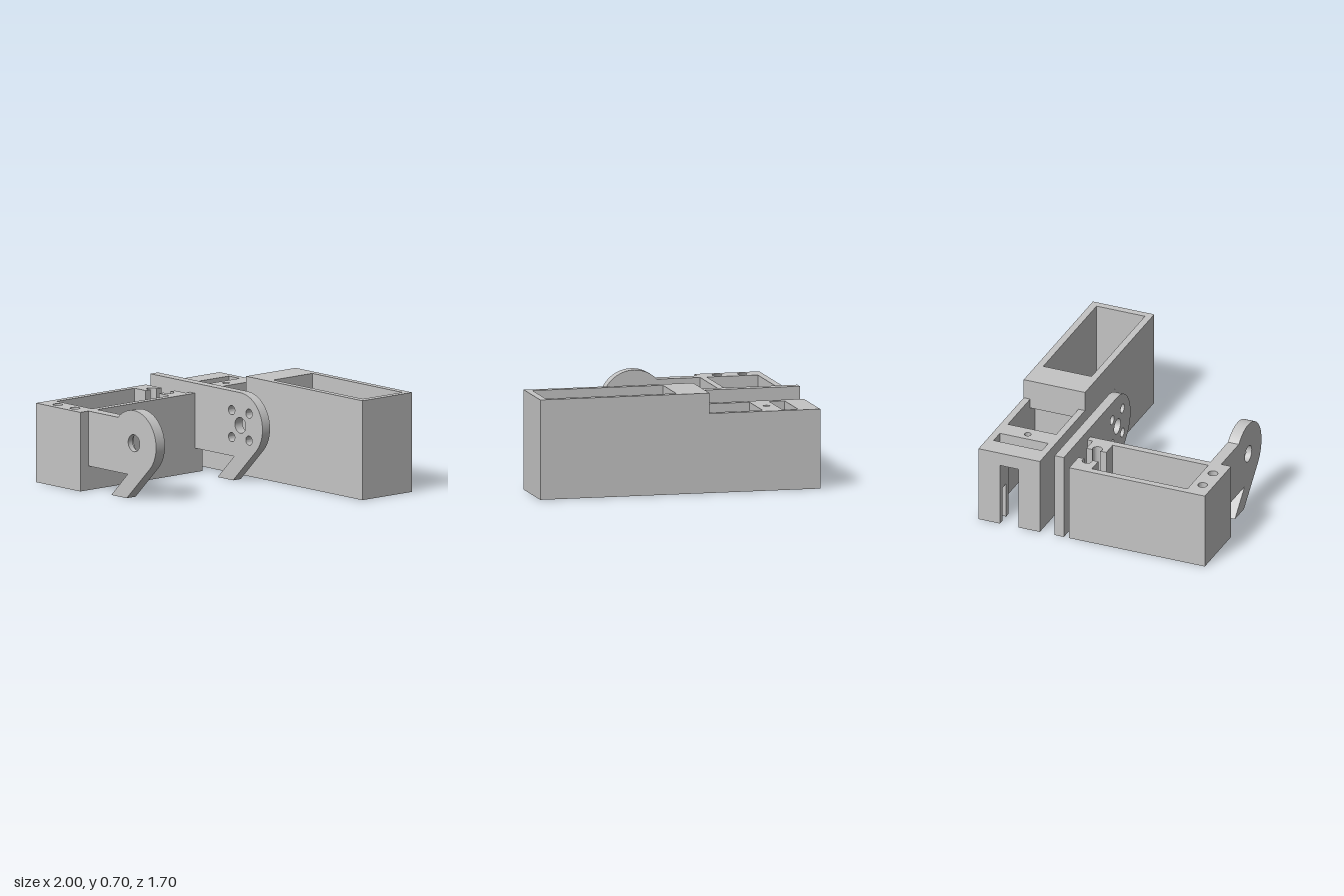
import * as THREE from 'three';
import { toCreasedNormals } from 'three/addons/utils/BufferGeometryUtils.js';

const grey = new THREE.MeshStandardMaterial({ color: 0xc4c4c4 });
grey.name = 'plastic grey';

const TOP = 0.557;      // height of the servo bodies
const HALF = 0.231;     // half their width

const points = (list) => list.map(([x, y]) => new THREE.Vector2(x, y));
const rect = (x0, y0, x1, y1) => points([[x0, y0], [x1, y0], [x1, y1], [x0, y1]]);
const circle = (x, y, r, from = 0, to = Math.PI * 2, n = 32) => {
  const count = to - from > 6.28 ? n : n + 1;
  return Array.from({ length: count }, (_, i) => {
    const a = from + (to - from) * i / n;
    return new THREE.Vector2(x + r * Math.cos(a), y + r * Math.sin(a));
  });
};

// Outlines run counter-clockwise so that hole walls face into the holes
function extrude(name, outline, holes, depth) {
  const clockwise = THREE.ShapeUtils.isClockWise(outline);
  const shape = new THREE.Shape(clockwise ? [...outline].reverse() : outline);
  shape.holes = holes.map((h) => new THREE.Path(h));
  const geo = new THREE.ExtrudeGeometry(shape, { depth, bevelEnabled: false });
  const mesh = new THREE.Mesh(toCreasedNormals(geo, 0.5), grey);
  mesh.name = name;
  return mesh;
}

// Horizontal layer: plan given in x, z and raised from y0 to y1
function layer(name, y0, y1, outline, holes = []) {
  const flip = (list) => list.map((p) => new THREE.Vector2(p.x, -p.y));
  const mesh = extrude(name, flip(outline), holes.map(flip), y1 - y0);
  mesh.rotation.x = -Math.PI / 2;
  mesh.position.y = y0;
  return mesh;
}

// Upright plate: profile given in x, y between z0 and z1
function plate(name, z0, z1, outline, holes = []) {
  const mesh = extrude(name, outline, holes, z1 - z0);
  mesh.position.z = z0;
  return mesh;
}

// Servo walls in (across, along): a pocket opened by a cable slot in one end,
// with optional round screw grooves in the sides of the slot
function servoWalls(length, grooved) {
  const a = 0.963;
  return [
    ...points([[-HALF, length], [-HALF, 0], [-0.07, 0]]),
    ...(grooved ? circle(-0.09, 0.075, 0.035, -a, a - Math.PI * 2, 20) : []),
    ...points([[-0.07, 0.15], [-0.182, 0.15], [-0.182, 0.87], [0.182, 0.87], [0.182, 0.15], [0.07, 0.15]]),
    ...(grooved ? circle(0.09, 0.075, 0.035, Math.PI - a, a - Math.PI, 20) : []),
    ...points([[0.07, 0], [HALF, 0], [HALF, length]]),
  ];
}
const servoPocket = rect(-0.182, 0.15, 0.182, 0.87);
const servoScrews = [-0.09, 0.09].map((u) => circle(u, 0.945, 0.034));
const cableHole = circle(0, 0.325, 0.024);

// Long housing: servo pocket open below, battery pocket open above
function housing() {
  const g = new THREE.Group();
  g.name = 'longHousing';
  const place = (list) => list.map((p) => new THREE.Vector2(p.y - 1, p.x - 0.622));
  const outer = place(rect(-HALF, 0, HALF, 2));
  const grooved = place(servoWalls(2, true));
  const screws = servoScrews.map(place);
  const battery = place(rect(-0.182, 1.018, 0.182, 1.95));
  const drains = [1.207, 1.735].map((v) => place(circle(0, v, 0.04)));
  const window = place(rect(-0.182, 0.4, 0.182, 0.79));
  const slit = place(rect(-0.182, 0.15, 0.182, 0.26));
  const raised = place(rect(-HALF, 0.79, HALF, 2));
  g.add(
    layer('housingFloor', 0, 0.07, grooved, [...screws, ...drains]),
    layer('housingLowerWalls', 0.07, 0.26, grooved, [...screws, battery]),
    layer('housingUpperWalls', 0.26, 0.46, place(servoWalls(2, false)), [battery]),
    layer('slotLintel', 0.46, 0.487, outer, [place(servoPocket), battery]),
    layer('housingRoof', 0.487, TOP, outer, [window, slit, place(cableHole), battery]),
    layer('raisedRim', TOP, 0.7, raised, [battery]),
  );
  return g;
}

// Open box that carries the two arms
function bracketBox() {
  const g = new THREE.Group();
  g.name = 'bracketBox';
  const length = 1.022;
  const place = (list) => list.map((p) => new THREE.Vector2(p.x - 0.769, p.y - 0.17));
  const outer = place(rect(-HALF, 0, HALF, length));
  g.add(
    layer('boxFloor', 0, 0.07, outer, [place(cableHole)]),
    layer('slotSill', 0.07, 0.097, outer, [place(servoPocket)]),
    layer('boxWalls', 0.097, 0.297, place(servoWalls(length, false))),
    layer('boxRim', 0.297, TOP, place(servoWalls(length, true)), servoScrews.map(place)),
    layer('armConnector', 0, TOP, rect(-0.587, -0.21, -0.538, -0.17)),
  );
  return g;
}

// Arms with a round pivot end and a slanted hook
function arms() {
  const g = new THREE.Group();
  g.name = 'pivotArms';
  const cx = -0.065, cy = 0.398, r = 0.23;
  const hook = points([[-0.538, 0.17], [-0.13, 0.17], [-0.3, 0], [-0.14, 0]]);
  const front = [
    ...hook,
    ...circle(cx, cy, r, -Math.PI / 4, Math.PI - Math.asin((TOP - cy) / r), 40),
    ...points([[-0.538, TOP]]),
  ];
  const back = [
    ...points([[-1, 0], [-0.538, 0]]),
    ...hook,
    ...circle(cx, cy, r, -Math.PI / 4, Math.PI / 2, 32),
    ...points([[-1, cy + r]]),
  ];
  const bolts = [[1, 1], [1, -1], [-1, 1], [-1, -1]]
    .map(([i, j]) => circle(cx + i * 0.09, cy + j * 0.095, 0.033));
  g.add(
    plate('frontArmOuter', 0.735, 0.777, front, [circle(cx, cy, 0.06)]),
    plate('frontArmInner', 0.695, 0.735, front, [circle(cx, cy, 0.095)]),
    plate('backArm', -0.28, -0.21, back, [circle(cx, cy, 0.056), ...bolts]),
  );
  return g;
}

export function createModel() {
  const model = new THREE.Group();
  model.name = 'servoBracketAndHousing';
  model.add(housing(), bracketBox(), arms());
  return model;
}
